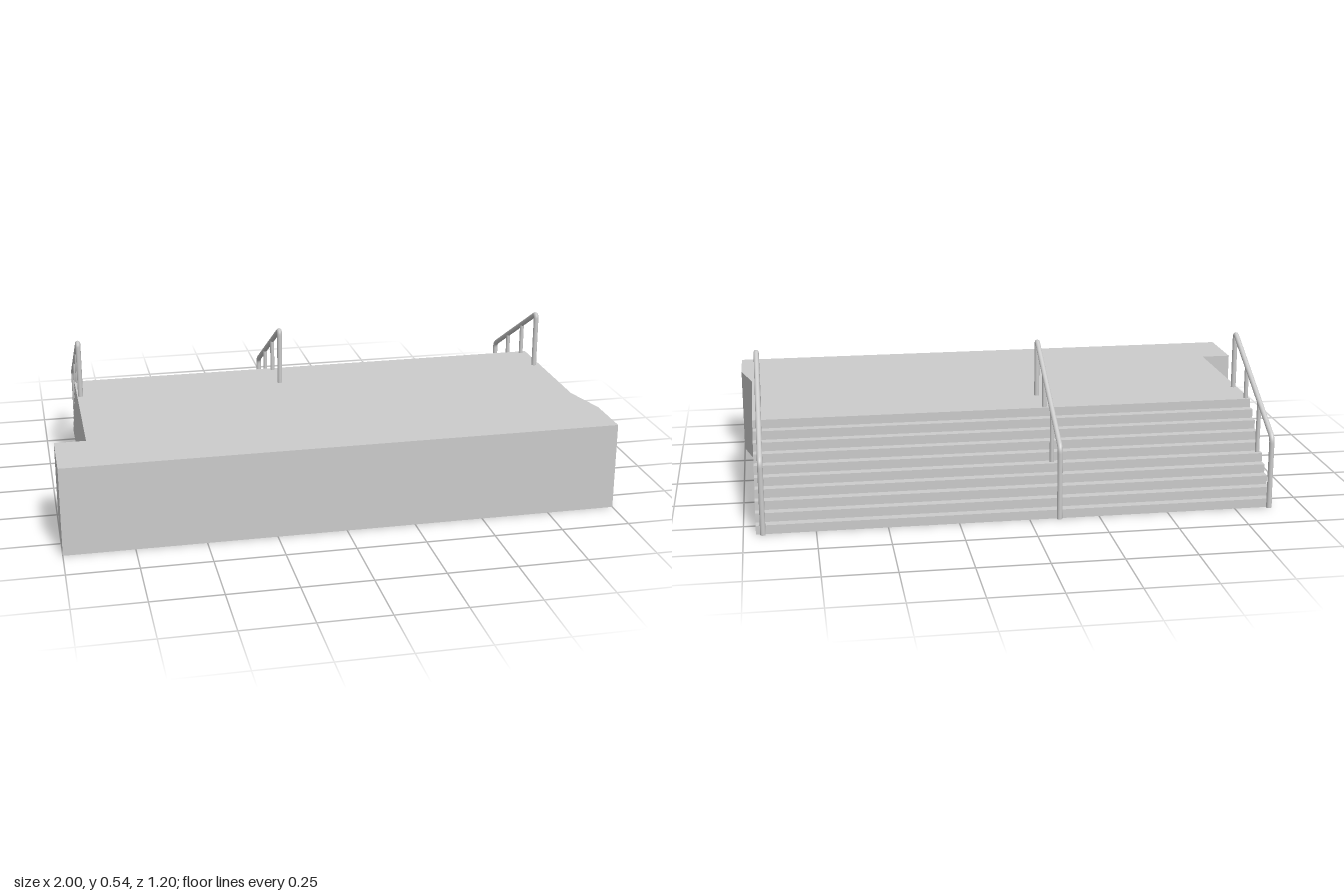
import * as THREE from 'three';

const H = 0.322, STEPS = 10, STAIR_BACK = -0.585, STAIR_TOP = -0.285;
const material = new THREE.MeshStandardMaterial({ color: 0xcccccc });

// Platform and stairs: one closed solid skinned over sections along z.
// Each section is a rectangle [z, right edge x, left edge x, top y].
function platformGeometry() {
  const x0 = -0.888, x1 = 0.957;
  const sections = [];
  for (let i = 0; i < STEPS; i++) {
    const z = STAIR_BACK + (STAIR_TOP - STAIR_BACK) * i / (STEPS - 1);
    sections.push([z, x0, x1, H * i / STEPS], [z, x0, x1, H * (i + 1) / STEPS]);
  }
  const xAt = z => x1 + (1 - x1) * (z - 0.24) / (0.41 - 0.24);
  sections.push(
    [0.24, x0, x1, H],
    [0.36, x0, xAt(0.36), H], [0.36, -1, xAt(0.36), H], // square notch
    [0.41, -1, 1, H], [0.6, -1, 1, H]
  );
  const rings = sections.map(([z, l, r, y]) =>
    [[l, 0], [r, 0], [r, y], [l, y]].map(([x, h]) => new THREE.Vector3(x, h, z)));

  const positions = [];
  const tri = new THREE.Triangle();
  const face = (a, b, c) => {
    if (tri.set(a, b, c).getArea() > 1e-8) positions.push(...a, ...b, ...c);
  };
  const quad = (a, b, c, d) => { face(a, b, c); face(a, c, d); };
  for (let i = 0; i + 1 < rings.length; i++) {
    const back = rings[i], front = rings[i + 1];
    for (let k = 0; k < 4; k++) {
      const n = (k + 1) % 4;
      quad(back[k], back[n], front[n], front[k]);
    }
  }
  quad(...rings[rings.length - 1]);

  const geometry = new THREE.BufferGeometry();
  geometry.setAttribute('position', new THREE.Float32BufferAttribute(positions, 3));
  geometry.computeVertexNormals();
  return geometry;
}

// Handrail: bent tube with two slimmer posts standing on the stairs
function createHandrail() {
  const rail = new THREE.Group();
  const add = (name, geometry) => {
    const mesh = new THREE.Mesh(geometry, material);
    mesh.name = name;
    rail.add(mesh);
    return mesh;
  };
  const r = 0.0095, bend = 0.02;
  const start = new THREE.Vector3(0, H, -0.111);
  const top = new THREE.Vector3(0, 0.536, -0.111);
  const low = new THREE.Vector3(0, 0.264, -0.5905);
  const end = new THREE.Vector3(0, 0, -0.5905);
  const toward = (a, b) => a.clone().add(b.clone().sub(a).setLength(bend));

  const path = new THREE.CurvePath();
  const t1 = toward(top, start), t2 = toward(top, low);
  const l1 = toward(low, top), l2 = toward(low, end);
  path.add(new THREE.LineCurve3(start, t1));
  path.add(new THREE.QuadraticBezierCurve3(t1, top, t2));
  path.add(new THREE.LineCurve3(t2, l1));
  path.add(new THREE.QuadraticBezierCurve3(l1, low, l2));
  path.add(new THREE.LineCurve3(l2, end));
  add('railTube', new THREE.TubeGeometry(path, 150, r, 12));

  const foot = add('footCap', new THREE.CircleGeometry(r, 12));
  foot.rotation.x = Math.PI / 2;
  foot.position.copy(end);

  for (const [z, base] of [[-0.27, H], [-0.431, H / 2]]) {
    const y = THREE.MathUtils.mapLinear(z, top.z, low.z, top.y, low.y);
    const post = add('middlePost', new THREE.CylinderGeometry(0.008, 0.008, y - base, 12));
    post.position.set(0, (y + base) / 2, z);
  }
  return rail;
}

export function createModel() {
  const model = new THREE.Group();
  model.name = 'platformWithStairs';

  const platform = new THREE.Mesh(platformGeometry(), material);
  platform.name = 'platformAndStairs';
  model.add(platform);

  const rails = { rightHandrail: -0.875, middleHandrail: -0.106, leftHandrail: 0.933 };
  for (const [name, x] of Object.entries(rails)) {
    const rail = createHandrail();
    rail.name = name;
    rail.position.x = x;
    model.add(rail);
  }
  return model;
}
